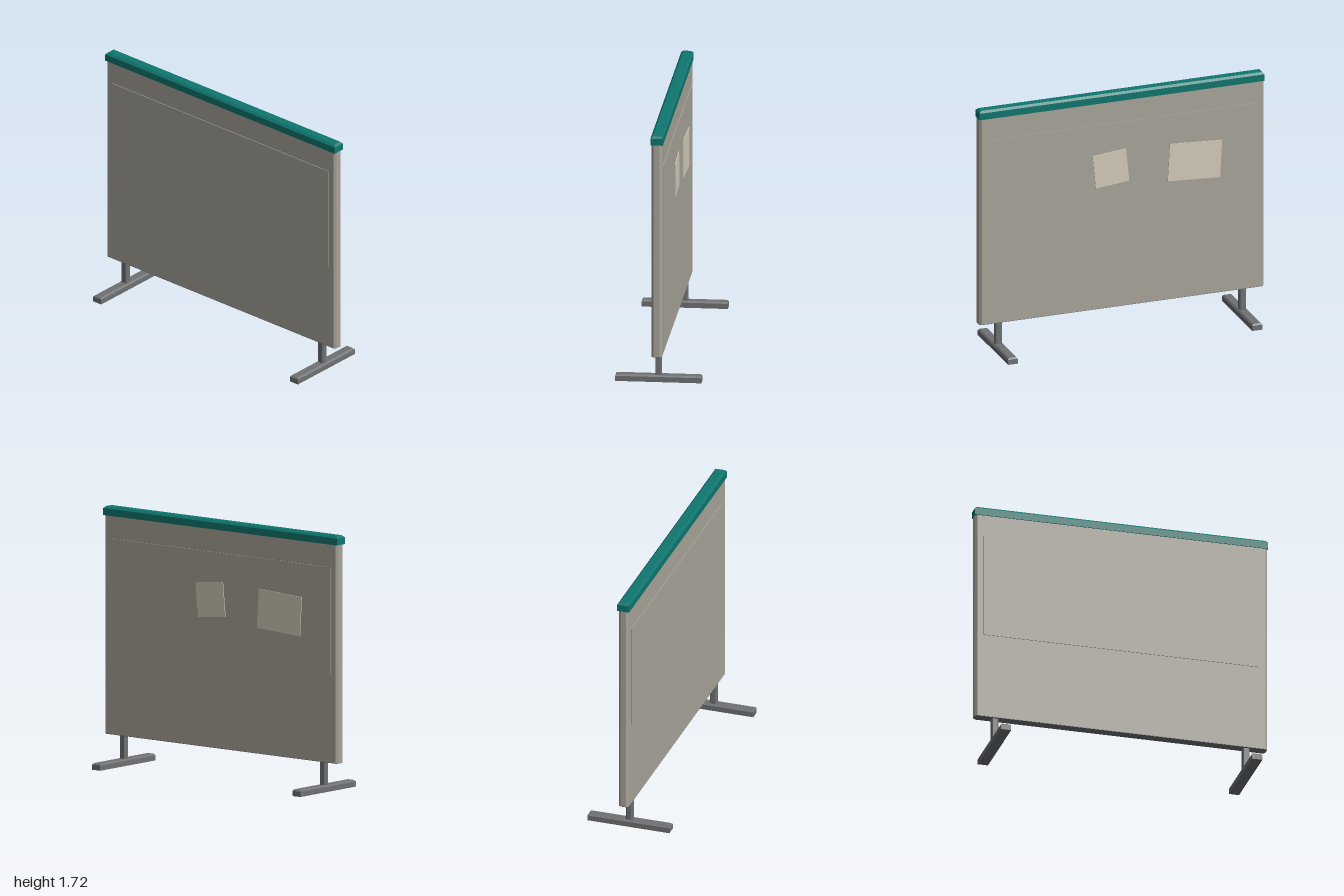
import * as THREE from 'three';

const mat = (name, color) => {
  const m = new THREE.MeshStandardMaterial({ color });
  m.name = name;
  return m;
};

// Block standing on y = 0 whose top edges are chamfered by c
function chamferTopBlock(w, h, d, c) {
  const box = new THREE.BoxGeometry(w, h, d, 1, 2, 1);
  const p = box.attributes.position;
  for (let i = 0; i < p.count; i++) {
    const y = p.getY(i);
    if (Math.abs(y) < 1e-6) p.setY(i, h / 2 - c);
    else if (y > 0) {
      p.setX(i, p.getX(i) - Math.sign(p.getX(i)) * c);
      p.setZ(i, p.getZ(i) - Math.sign(p.getZ(i)) * c);
    }
  }
  const g = box.toNonIndexed();
  g.computeVertexNormals();
  g.translate(0, h / 2, 0);
  return g;
}

// Upright slab standing on y = 0 whose vertical edges are chamfered by c
function chamferSideSlab(w, h, d, c) {
  const x = w / 2, z = d / 2;
  const outline = [[x, z - c], [x - c, z], [c - x, z], [-x, z - c],
    [-x, c - z], [c - x, -z], [x - c, -z], [x, c - z]];
  const shape = new THREE.Shape(outline.map(([a, b]) => new THREE.Vector2(a, b)));
  const g = new THREE.ExtrudeGeometry(shape, { depth: h, bevelEnabled: false });
  g.rotateX(-Math.PI / 2);
  return g;
}

export function createModel() {
  const model = new THREE.Group();
  model.name = 'partitionScreen';
  const fabric = mat('greige fabric', 0xa8a499);
  const teal = mat('teal trim', 0x0f766e);
  const metal = mat('dark grey metal', 0x6f7173);
  const paper = mat('cream paper', 0xd4cbb8);

  const add = (name, geometry, material, x, y, z) => {
    const mesh = new THREE.Mesh(geometry, material);
    mesh.name = name;
    mesh.position.set(x, y, z);
    model.add(mesh);
    return mesh;
  };

  // Main board with its underside rail and top cap
  add('panel', chamferSideSlab(1.996, 1.46, 0.07, 0.015), fabric, 0, 0.203, 0);
  add('bottomRail', chamferSideSlab(1.994, 0.005, 0.068, 0.015), metal, 0, 0.2, 0);
  add('topCap', chamferTopBlock(2, 0.06, 0.082, 0.014), teal, 0, 1.655, 0);

  // Raised pin boards on both faces
  for (const s of [1, -1]) {
    add(s > 0 ? 'frontPinBoard' : 'backPinBoard',
      new THREE.BoxGeometry(1.88, 0.715, 0.006), fabric, 0, 1.147, s * 0.037);
  }

  // Tilted sheets pinned to the back
  const sheets = [
    ['squareSheet', 0.235, 0.232, 0.08, 1.187, -0.098],
    ['wideSheet', 0.367, 0.262, -0.51, 1.16, 0.057],
  ];
  for (const [name, w, h, x, y, tilt] of sheets) {
    add(name, new THREE.BoxGeometry(w, h, 0.006), paper, x, y, -0.042).rotation.z = tilt;
  }

  // Posts and feet
  for (const s of [1, -1]) {
    const side = s > 0 ? 'left' : 'right';
    add(side + 'Post', chamferSideSlab(0.045, 0.165, 0.042, 0.006), metal, s * 0.857, 0.036, 0);
    add(side + 'Foot', chamferTopBlock(0.07, 0.045, 0.57, 0.01), metal, s * 0.857, 0, 0);
  }
  return model;
}
